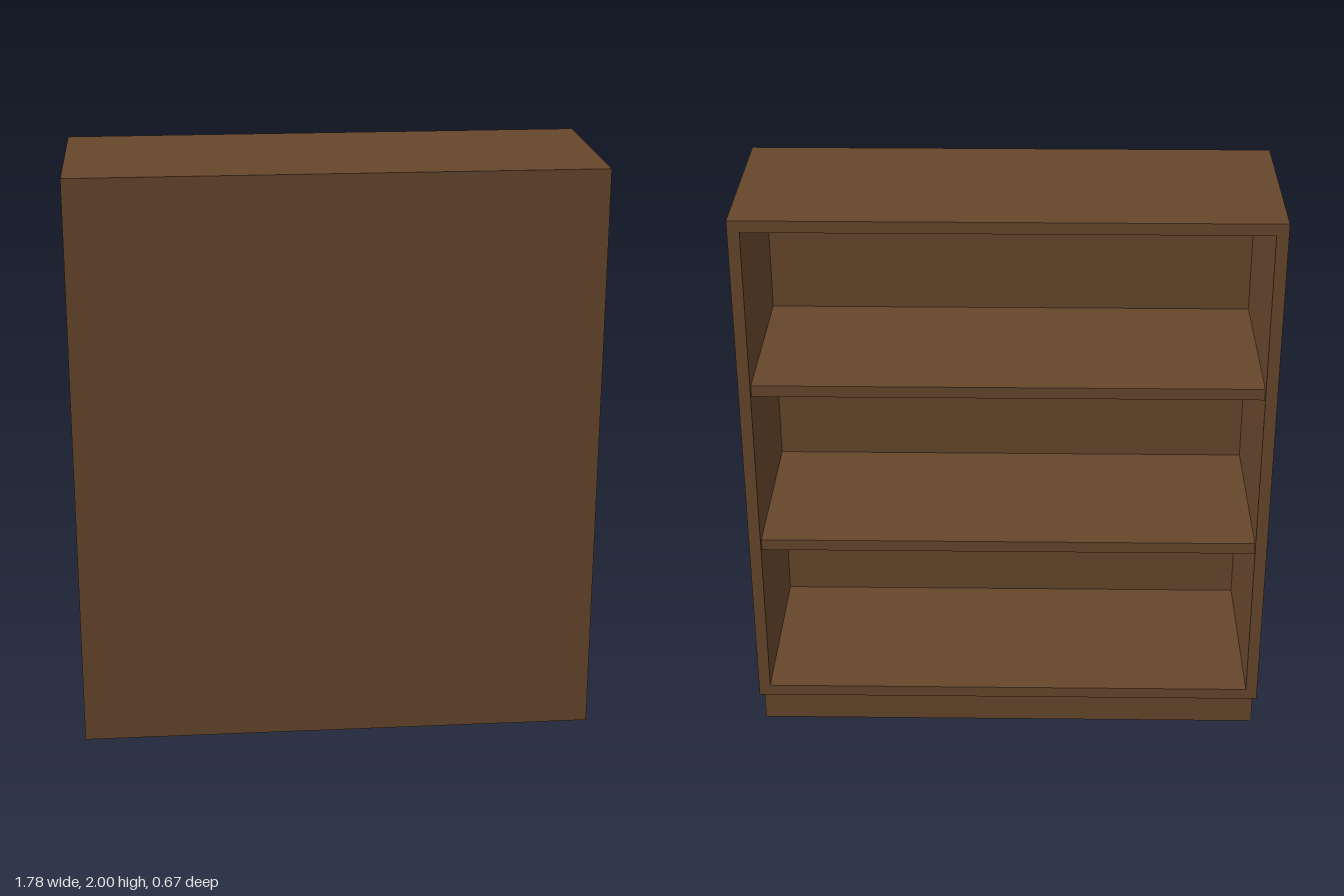
import * as THREE from 'three';

const WIDTH = 1.778, HEIGHT = 2, DEPTH = 0.667;
const BOARD = 0.04;          // thickness of case boards and shelves
const PANEL = 0.012;         // thickness of the closing panel
const KICK_H = 0.178, KICK_D = 0.111;
const SETBACK = 0.022;       // shelves sit behind the case edge
const SHELVES = 2;

export function createModel() {
  const group = new THREE.Group();
  group.name = 'bookcase';
  const wood = new THREE.MeshStandardMaterial({ color: 0x66462c });
  wood.name = 'dark brown wood';

  const add = (name, geometry, x, y, z) => {
    const mesh = new THREE.Mesh(geometry, wood);
    mesh.name = name;
    mesh.position.set(x, y, z);
    group.add(mesh);
  };
  // Box given by its bottom height and its z range
  const board = (name, w, h, y, z0, z1) =>
    add(name, new THREE.BoxGeometry(w, h, z1 - z0), 0, y + h / 2, (z0 + z1) / 2);

  const open = -DEPTH / 2, closed = DEPTH / 2, panelZ = closed - PANEL;
  const innerW = WIDTH - 2 * BOARD;
  const innerBottom = KICK_H + BOARD, innerTop = HEIGHT - BOARD;

  // Case: sides, top and bottom as one hollow frame
  const rect = (target, x, y0, y1) => target
    .moveTo(-x, y0).lineTo(x, y0).lineTo(x, y1).lineTo(-x, y1).closePath();
  const frame = rect(new THREE.Shape(), WIDTH / 2, KICK_H, HEIGHT);
  frame.holes.push(rect(new THREE.Path(), innerW / 2, innerBottom, innerTop));
  add('caseFrame', new THREE.ExtrudeGeometry(frame, { depth: panelZ - open, bevelEnabled: false }), 0, 0, open);

  // Panel closing the +z side
  board('closingPanel', WIDTH, HEIGHT - KICK_H, KICK_H, panelZ, closed);

  // Plinth, recessed under the open side
  board('plinth', WIDTH, KICK_H, 0, open + KICK_D, closed);

  // Evenly spaced shelves
  const gap = (innerTop - innerBottom - SHELVES * BOARD) / (SHELVES + 1);
  for (let i = 0; i < SHELVES; i++) {
    const y = innerBottom + gap + i * (gap + BOARD);
    board(`shelf${i + 1}`, innerW, BOARD, y, open + SETBACK, panelZ);
  }
  return group;
}
